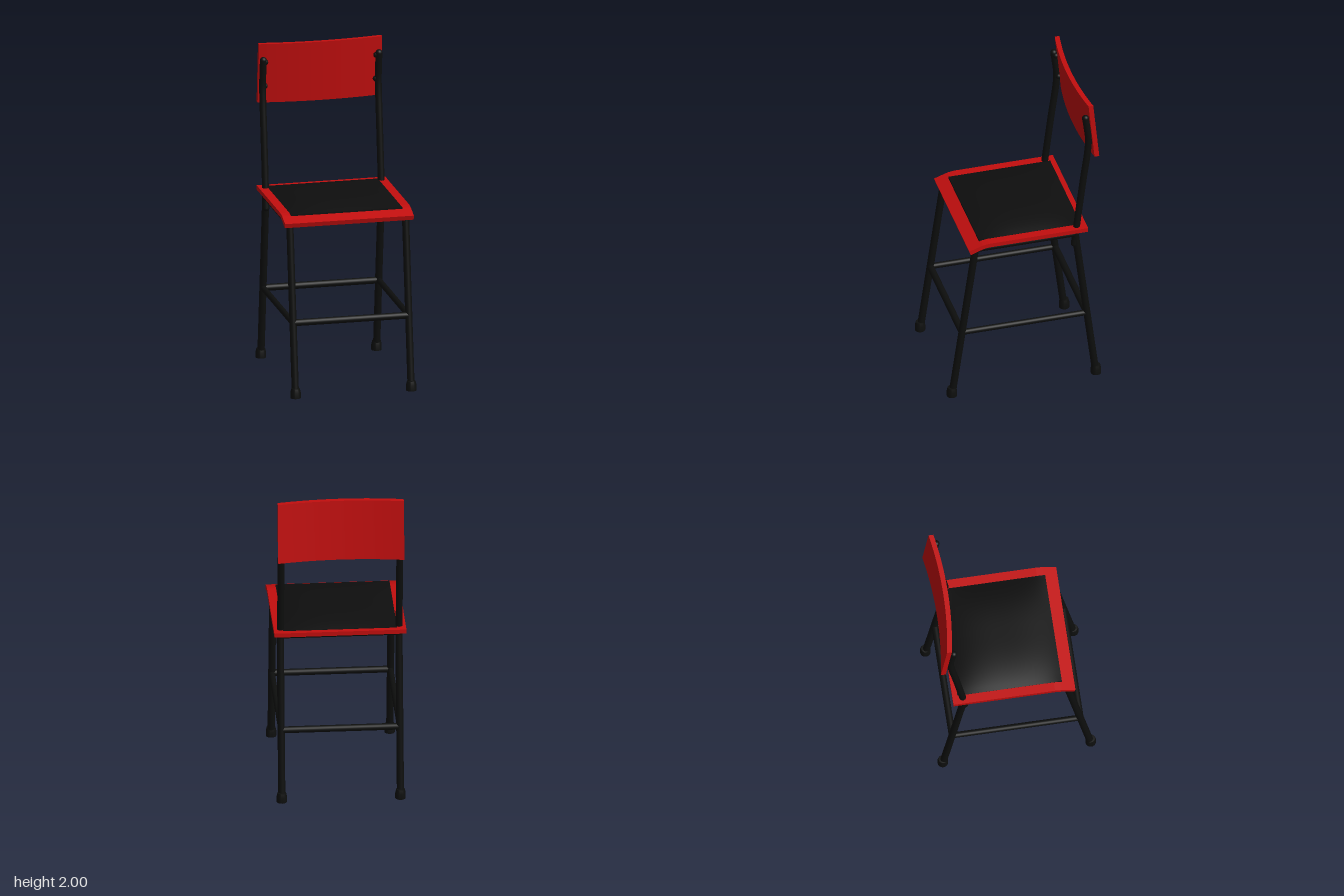
import * as THREE from 'three';
import { toCreasedNormals } from 'three/addons/utils/BufferGeometryUtils.js';

export function createModel() {
  const model = new THREE.Group();
  model.name = 'chair';
  const material = (name, color) => {
    const m = new THREE.MeshStandardMaterial({ color });
    m.name = name;
    return m;
  };
  const red = material('red panel', 0xc20e0e);
  const black = material('black metal', 0x0d0e0d);
  const pad = material('black padding', 0x0e0e0e);

  const add = (name, geometry, mat, parent = model) => {
    const mesh = new THREE.Mesh(geometry, mat);
    mesh.name = name;
    parent.add(mesh);
    return mesh;
  };
  const V = (x, y, z) => new THREE.Vector3(x, y, z);
  // Straight round bar between two points
  const bar = (name, a, b, r = 0.021) => {
    const dir = b.clone().sub(a);
    const mesh = add(name, new THREE.CylinderGeometry(r, r, dir.length(), 20), black);
    mesh.position.copy(a).add(b).multiplyScalar(0.5);
    mesh.quaternion.setFromUnitVectors(V(0, 1, 0), dir.normalize());
    return mesh;
  };
  const ball = (name, p, r) => add(name, new THREE.SphereGeometry(r, 16, 12), black).position.copy(p);

  // Seat board: side profile (z, y) with the front edge bent down
  const profile = new THREE.Shape([
    [-0.395, 1.083], [0.23, 1.083], [0.265, 1.078], [0.347, 1.047],
    [0.356, 1.075], [0.27, 1.104], [0.23, 1.11], [-0.395, 1.11],
  ].map(([z, y]) => new THREE.Vector2(z, y)));
  const board = new THREE.ExtrudeGeometry(profile, { depth: 0.806, bevelEnabled: false });
  board.translate(0, 0, -0.403).rotateY(-Math.PI / 2);
  add('seatBoard', board, red);

  // Seat cushion: a slab with a domed top
  const cushion = new THREE.BoxGeometry(0.696, 0.02, 0.643, 24, 1, 24);
  const cp = cushion.attributes.position;
  for (let i = 0; i < cp.count; i++) {
    if (cp.getY(i) < 0) continue;
    const u = Math.abs(cp.getX(i)) / 0.348, v = Math.abs(cp.getZ(i)) / 0.3215;
    cp.setY(i, 0.01 + 0.036 * (1 - u ** 3) * (1 - v ** 3));
  }
  cushion.translate(0, 1.101, -0.0415);
  add('seatCushion', toCreasedNormals(cushion, 0.6), pad);

  // Backrest: curved plan, leaning forward towards the top
  const plan = new THREE.Shape();
  const steps = 24, half = 0.385, bow = 0.033;
  const arc = (x, z) => [x, -(z - bow * (x / half) ** 2)];
  for (let i = 0; i <= steps; i++) {
    const p = arc(-half + (2 * half * i) / steps, -0.407);
    if (i === 0) plan.moveTo(...p); else plan.lineTo(...p);
  }
  for (let i = steps; i >= 0; i--) plan.lineTo(...arc(-half + (2 * half * i) / steps, -0.437));
  plan.closePath();
  const back = new THREE.ExtrudeGeometry(plan, { depth: 0.38, bevelEnabled: false });
  back.rotateX(-Math.PI / 2).translate(0, 1.62, 0);
  const bp = back.attributes.position;
  for (let i = 0; i < bp.count; i++) bp.setZ(i, bp.getZ(i) + 0.1 * (bp.getY(i) - 1.62));
  add('backrest', toCreasedNormals(back, 0.5), red);

  // Foot profile, wide at the floor and tapering onto the leg
  const foot = new THREE.LatheGeometry(
    [[0, 0], [0.032, 0], [0.032, 0.035], [0.026, 0.06], [0, 0.062]].map(([r, y]) => new THREE.Vector2(r, y)), 24);

  for (const [side, s] of [['left', 1], ['right', -1]]) {
    const x = 0.362 * s;
    // Splayed legs with rubber feet
    bar(side + 'FrontLeg', V(x, 0.02, 0.452), V(x, 1.07, 0.305), 0.022);
    bar(side + 'BackLeg', V(x, 0.02, -0.452), V(x, 1.07, -0.322), 0.022);
    for (const [end, z] of [['Front', 0.455], ['Back', -0.455]]) {
      add(side + end + 'Foot', toCreasedNormals(foot, 0.6), black).position.set(x, 0, z);
    }
    // Side rails
    bar(side + 'Stretcher', V(x, 0.457, 0.39), V(x, 0.457, -0.396), 0.018);
    bar(side + 'SeatRail', V(x, 1.06, 0.29), V(x, 1.06, -0.32));
    // Bent backrest post with rounded ends
    const path = [[0.985, -0.318], [1.12, -0.334], [1.45, -0.375], [1.65, -0.402], [1.74, -0.408], [1.82, -0.4], [1.9, -0.389]]
      .map(([y, z]) => V(x, y, z));
    add(side + 'BackPost', new THREE.TubeGeometry(new THREE.CatmullRomCurve3(path), 40, 0.021, 18), black);
    ball(side + 'PostBottom', path[0], 0.021);
    ball(side + 'PostTop', path[6], 0.021);
    // Bolts fixing the backrest
    for (const [y, z] of [[1.73, -0.415], [1.885, -0.398]]) {
      ball(side + 'BackrestBolt', V(0.347 * s, y, z), 0.018);
    }
  }

  // Cross rails
  bar('frontStretcher', V(-0.36, 0.457, 0.391), V(0.36, 0.457, 0.391));
  bar('backStretcher', V(-0.36, 0.457, -0.397), V(0.36, 0.457, -0.397));
  bar('frontSeatRail', V(-0.362, 1.06, 0.29), V(0.362, 1.06, 0.29));
  bar('backSeatRail', V(-0.362, 1.06, -0.315), V(0.362, 1.06, -0.315));

  return model;
}
